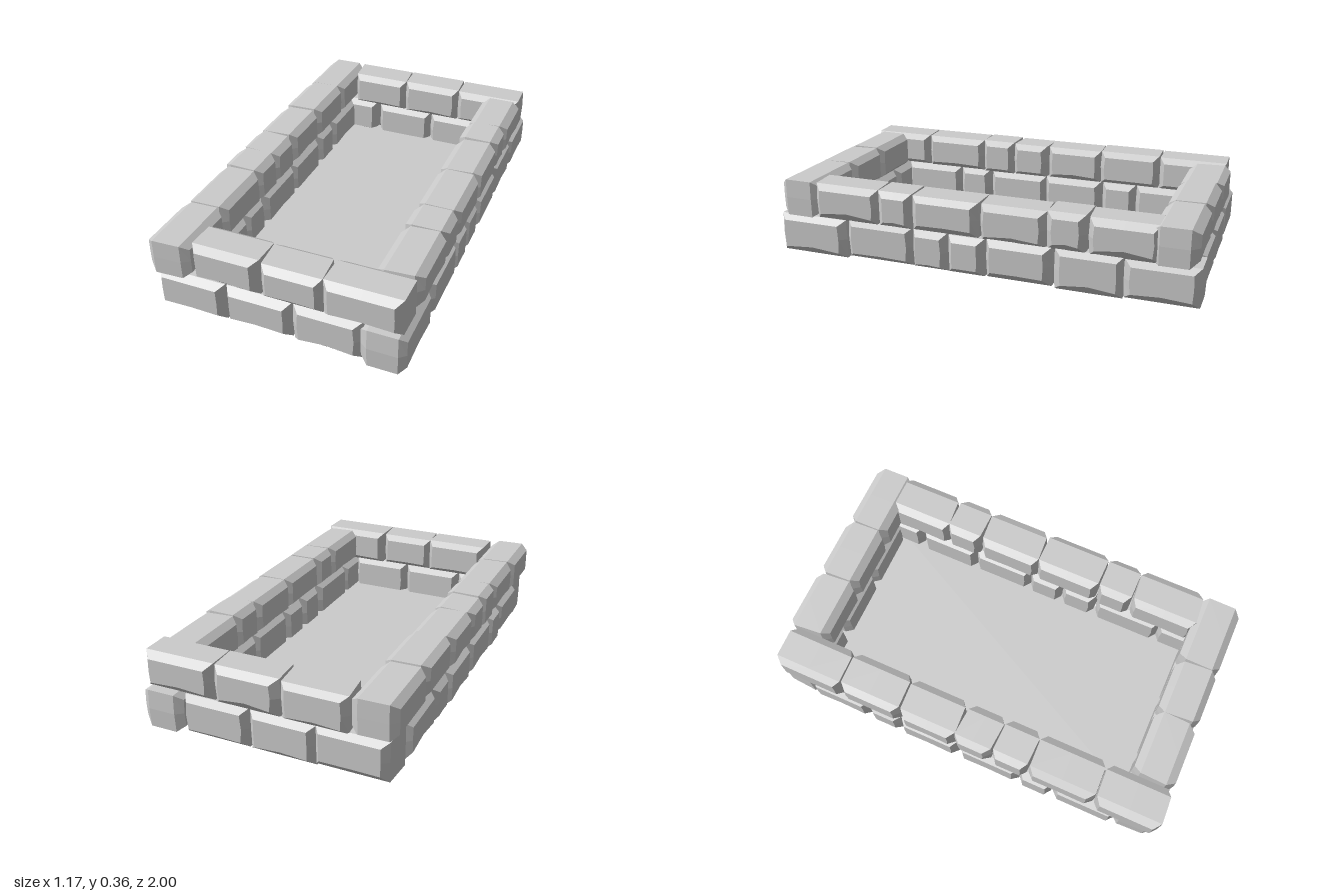
import * as THREE from 'three';

const stone = new THREE.MeshStandardMaterial({ color: 0xcccccc, flatShading: true });
const floorMat = new THREE.MeshStandardMaterial({ color: 0xcccccc, side: THREE.DoubleSide });

// small seeded generator for the hewn irregularity
let seed = 7;
const rand = (a, b) => {
  seed = (seed * 16807) % 2147483647;
  return a + (b - a) * (seed / 2147483647);
};

// Bevelled stone: length along x, outer face towards +z, lofted through four rings
function stoneGeometry(length, bottom, top, depth) {
  const bulge = rand(0, 0.006), arch = rand(0, 0.016), skew = rand(-0.006, 0.006);
  const rings = [
    // z, left and right end inset, bottom and top inset, bottom arch, end skew
    { z: -depth / 2, l: 0.03, r: 0.03, b: 0.025, t: 0.025, a: arch * 0.5, s: -skew },
    { z: -depth / 2 + 0.035, l: 0.004, r: 0.004, b: 0, t: 0, a: 0, s: -skew },
    { z: depth / 2 - rand(0.03, 0.04), l: 0.004, r: 0.004, b: 0, t: 0, a: 0, s: skew },
    {
      z: depth / 2, l: rand(0.028, 0.038), r: rand(0.028, 0.038),
      b: rand(0.025, 0.035), t: rand(0.02, 0.028), a: arch, s: skew,
    },
  ];
  const pos = [], index = [], n = 8;
  for (const { z, l, r, b, t, a, s } of rings) {
    const x0 = -length / 2 + l + s, x1 = length / 2 - r + s;
    const y0 = bottom + b, y1 = top - t, xm = (x0 + x1) / 2, ym = (y0 + y1) / 2;
    const ring = [
      [x0, y0], [xm, y0 + a], [x1, y0], [x1 + bulge, ym],
      [x1, y1], [xm, y1], [x0, y1], [x0 - bulge, ym],
    ];
    ring.forEach(([x, y]) => pos.push(x, y, z));
  }
  for (let k = 0; k < rings.length - 1; k++) {
    for (let i = 0; i < n; i++) {
      const a = k * n + i, b = k * n + (i + 1) % n;
      index.push(a, b, b + n, a, b + n, a + n);
    }
  }
  // end caps, fanned from the arched bottom point
  const last = (rings.length - 1) * n;
  for (let i = 2; i < n; i++) {
    const j = (i + 1) % n;
    index.push(last + 1, last + i, last + j, 1, j, i);
  }
  const geo = new THREE.BufferGeometry();
  geo.setAttribute('position', new THREE.Float32BufferAttribute(pos, 3));
  geo.setIndex(index);
  geo.computeVertexNormals();
  return geo;
}

// Wall centre lines: turn of the outer face, axis of the run and offset
const SIDES = {
  front: { turn: 0, along: 'x', offset: 0.893 },
  right: { turn: Math.PI / 2, along: 'z', offset: 0.479 },
  back: { turn: Math.PI, along: 'x', offset: -0.885 },
  left: { turn: -Math.PI / 2, along: 'z', offset: -0.487 },
};

// A run of stones between successive joint positions
function wallRun(name, side, joints, bottom, top) {
  const run = new THREE.Group();
  run.name = name;
  const { turn, along, offset } = SIDES[side];
  for (let i = 0; i < joints.length - 1; i++) {
    const [a, b] = [joints[i], joints[i + 1]];
    const geo = stoneGeometry(b - a, bottom + rand(0, 0.012), top - rand(0, 0.01), 0.2);
    const mesh = new THREE.Mesh(geo, stone);
    mesh.name = 'stone';
    mesh.rotation.y = turn;
    mesh.position[along] = (a + b) / 2;
    mesh.position[along === 'x' ? 'z' : 'x'] = offset + rand(-0.003, 0.003);
    run.add(mesh);
  }
  return run;
}

export function createModel() {
  seed = 7;
  const model = new THREE.Group();
  model.name = 'stoneBed';

  // Lower course: the right wall runs full length
  const lower = {
    front: [-0.57, -0.24, 0.073, 0.39],
    right: [-1, -0.67, -0.36, -0.05, 0.13, 0.31, 0.65, 1],
    back: [-0.57, -0.24, 0.073, 0.39],
    left: [-0.81, -0.5, -0.32, -0.01, 0.31, 0.485, 0.81],
  };
  // Upper course: joints shifted, the left wall runs full length
  const upper = {
    front: [-0.385, -0.065, 0.215, 0.565],
    right: [-0.82, -0.51, -0.33, -0.02, 0.305, 0.48, 0.81],
    back: [-0.385, -0.08, 0.23, 0.57],
    left: [-0.96, -0.62, -0.31, -0.02, 0.17, 0.35, 0.68, 1],
  };
  for (const side of Object.keys(SIDES)) {
    model.add(wallRun(side + 'LowerCourse', side, lower[side], 0.005, 0.2));
    model.add(wallRun(side + 'UpperCourse', side, upper[side], 0.187, 0.367));
  }

  // Flat bed inside the walls
  const floor = new THREE.Mesh(new THREE.PlaneGeometry(0.86, 1.68), floorMat);
  floor.name = 'floor';
  floor.rotation.x = -Math.PI / 2;
  floor.position.y = 0.04;
  model.add(floor);
  return model;
}
